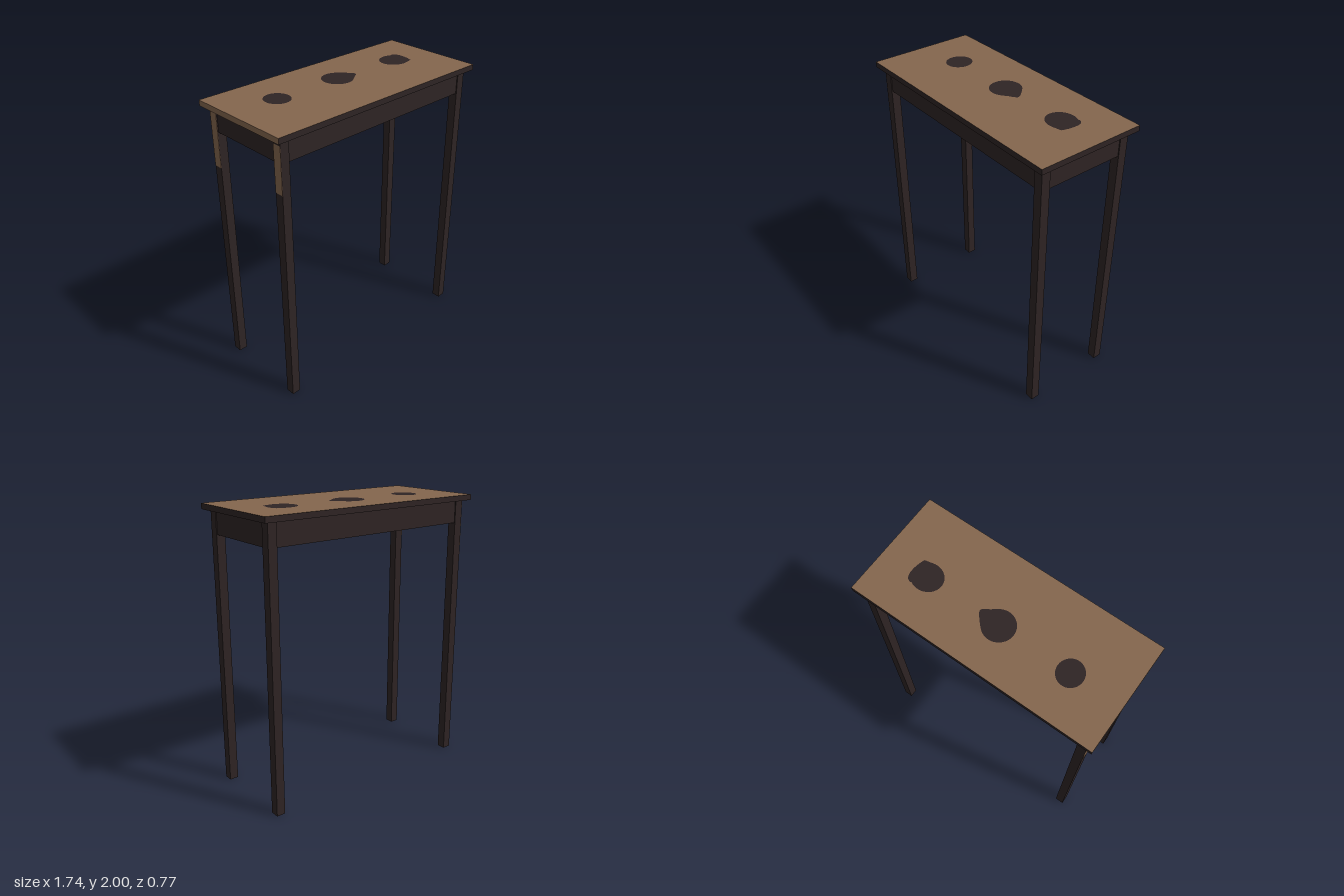
import * as THREE from 'three';

export function createModel() {
  const table = new THREE.Group();
  table.name = 'table';
  const dark = new THREE.MeshStandardMaterial({ color: 0x2e2424 });
  dark.name = 'dark wood';
  const brown = new THREE.MeshStandardMaterial({ color: 0x84664e });
  brown.name = 'brown wood';

  const box = (name, size, pos, material = dark) => {
    const mesh = new THREE.Mesh(new THREE.BoxGeometry(...size), material);
    mesh.name = name;
    mesh.position.set(...pos);
    table.add(mesh);
    return mesh;
  };

  // Top board: brown upper face and one brown end, dark elsewhere
  box('tableTop', [1.738, 0.039, 0.77], [0, 1.9795, 0], [dark, brown, brown, dark, dark, dark]);

  // Legs and aprons, mirrored about the centre
  const legX = 0.794, legZ = 0.31, legW = 0.063;
  for (const s of [-1, 1]) {
    for (const t of [-1, 1]) {
      box('leg', [legW, 1.96, legW], [s * legX, 0.98, t * legZ]);
    }
    box('longApron', [2 * legX - legW, 0.16, 0.02], [0, 1.88, s * 0.325]);
    box('endApron', [0.02, 0.16, 2 * legZ - legW], [s * 0.809, 1.88, 0]);
  }

  // Brown worn patches on the outer faces of the legs at one end
  for (const [z, low, high] of [[-legZ, 1.55, 1.95], [legZ, 1.6, 1.92]]) {
    box('legPatch', [0.002, high - low, legW], [-legX - legW / 2 - 0.0005, (low + high) / 2, z], brown);
  }

  // Dark spots on the top, outlined in x and -z
  const addSpot = (name, shape) => {
    const geometry = new THREE.ShapeGeometry(shape, 24).rotateX(-Math.PI / 2);
    const mesh = new THREE.Mesh(geometry, dark);
    mesh.name = name;
    mesh.position.y = 2;
    table.add(mesh);
  };

  const round = new THREE.Shape();
  round.absellipse(-0.51, 0.067, 0.088, 0.092, 0, Math.PI * 2);
  addSpot('roundSpot', round);

  // Round body running out to a blunt point
  const drop = new THREE.Shape();
  drop.absarc(0, 0.067, 0.108, 0.75, Math.PI * 2 - 0.95, false);
  drop.lineTo(0.105, 0.012);
  drop.quadraticCurveTo(0.15, 0.035, 0.15, 0.052);
  drop.quadraticCurveTo(0.15, 0.07, 0.079, 0.141);
  addSpot('pointedSpot', drop);

  // Round body with a flattened end
  const flat = new THREE.Shape();
  flat.absellipse(0.54, 0.06, 0.108, 0.098, 0.32 * Math.PI, 1.62 * Math.PI, false);
  flat.lineTo(0.625, -0.022);
  flat.quadraticCurveTo(0.645, 0.03, 0.645, 0.08);
  flat.quadraticCurveTo(0.645, 0.145, 0.6, 0.147);
  addSpot('flattenedSpot', flat);

  return table;
}
